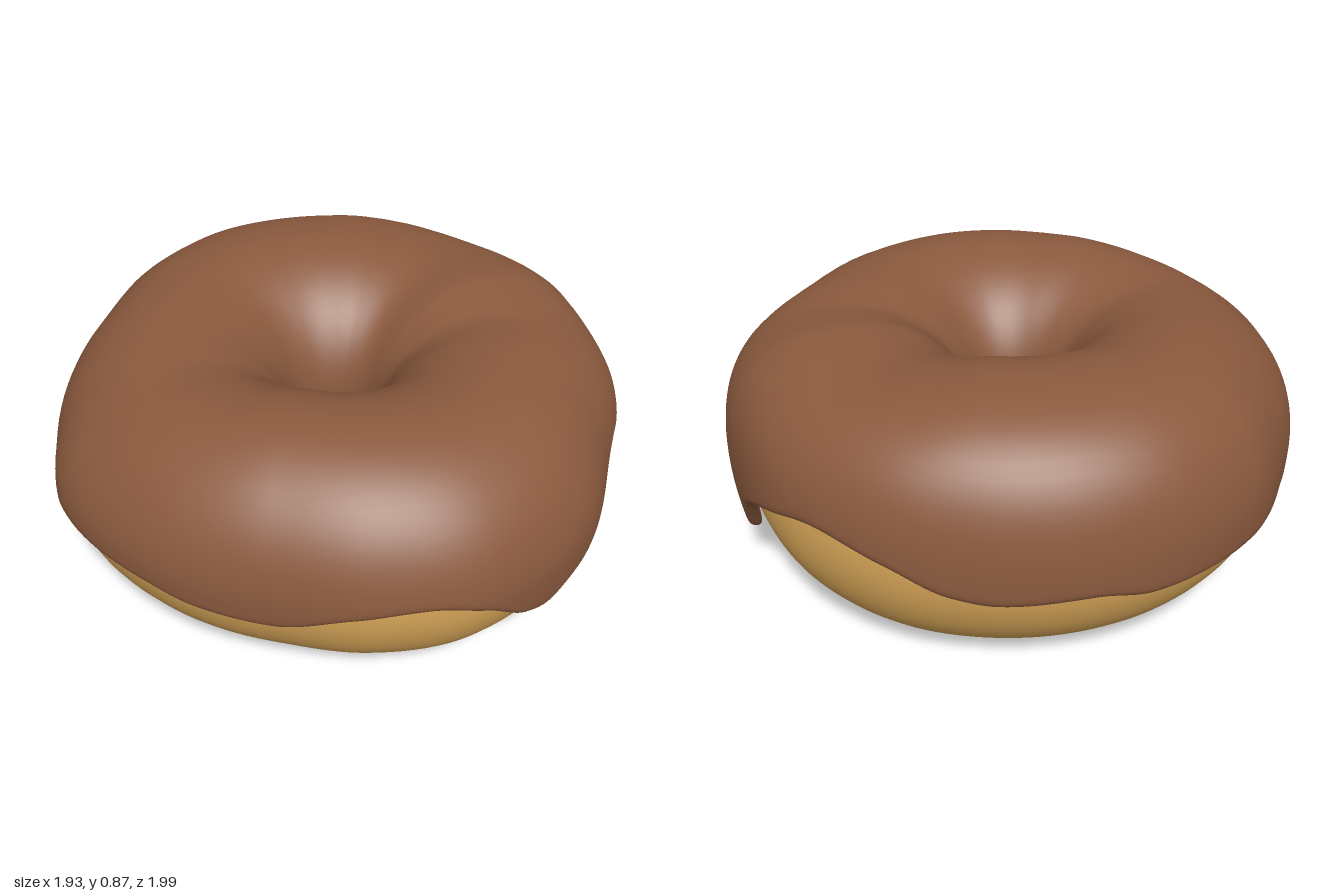
import * as THREE from 'three';

// Body shape by angle (degrees, 0 = +x, 90 = front): outer radius, top height, shoulder fullness
const BODY = [
  [0, 0.965, 0.85, 0.08], [12, 0.965, 0.835, 0.06], [24, 0.97, 0.82, 0.04], [46, 0.935, 0.83, 0.02],
  [69, 0.985, 0.83, 0], [90, 0.995, 0.835, 0], [111, 0.96, 0.84, 0], [131, 0.925, 0.84, 0],
  [157, 0.945, 0.82, -0.02], [180, 0.97, 0.805, -0.04], [198, 0.94, 0.82, -0.02], [225, 0.935, 0.84, 0],
  [247, 0.98, 0.85, 0.03], [270, 0.995, 0.865, 0.06], [300, 0.99, 0.868, 0.07], [316, 0.995, 0.85, 0.08],
  [336, 0.99, 0.83, 0.08],
];

// Height of the icing's lower rim by angle, with its drips
const RIM = [
  [1.5, 0.18], [6, 0.16], [10, 0.2], [12.6, 0.29], [25, 0.44], [39, 0.49], [50, 0.45], [63, 0.38],
  [72, 0.32], [78, 0.29], [83, 0.31], [92, 0.4], [102, 0.445], [115, 0.415], [130, 0.35], [145, 0.36],
  [155, 0.385], [180, 0.4], [190, 0.35], [203, 0.31], [207, 0.27], [209, 0.2], [212, 0.175], [215, 0.2],
  [218, 0.3], [225, 0.33], [240, 0.355], [255, 0.35], [270, 0.345], [280, 0.37], [296, 0.355],
  [304, 0.375], [315, 0.45], [329, 0.5], [342, 0.45], [354, 0.35], [358.5, 0.25],
];

const MID = 0.43, HOLE = 0.14, THICK = 0.045;

// Smooth periodic interpolation that does not overshoot its keys
function sample(keys, deg, col) {
  const n = keys.length;
  const at = (i) => {
    const w = Math.floor(i / n), k = keys[i - w * n];
    return [k[0] + 360 * w, k[col]];
  };
  let i = -1;
  while (at(i + 1)[0] <= deg) i++;
  const slope = (j) => (at(j + 1)[1] - at(j)[1]) / (at(j + 1)[0] - at(j)[0]);
  const tangent = (j) => {
    const a = slope(j - 1), b = slope(j);
    return a * b <= 0 ? 0 : (2 * a * b) / (a + b);
  };
  const [x0, y0] = at(i), [x1, y1] = at(i + 1);
  const h = x1 - x0, t = (deg - x0) / h, t2 = t * t, t3 = t2 * t;
  return (2 * t3 - 3 * t2 + 1) * y0 + (t3 - 2 * t2 + t) * h * tangent(i)
    + (3 * t2 - 2 * t3) * y1 + (t3 - t2) * h * tangent(i + 1);
}

// All measurements of one slice through the ring
function slice(deg) {
  const low = Math.max(0, Math.cos((deg - 315) * Math.PI / 180));
  return {
    deg,
    R: sample(BODY, deg, 1), top: sample(BODY, deg, 2), full: sample(BODY, deg, 3),
    rim: sample(RIM, deg, 1),
    bottom: 0.027 - 0.027 * low ** 3,
  };
}

// Point [radius, height] at angle phi round the slice, moved inward by inset
function section(s, phi, inset, hang) {
  let c = Math.cos(phi), y = Math.sin(phi);
  if (c > 0 && y > 0) {
    const k = 1 + s.full * Math.sin(2 * phi) ** 2;
    c *= k;
    y *= k;
  }
  if (c > 0 && y < 0) c = 1 - (1 - c) * hang;
  const half = (s.R - HOLE) / 2;
  const height = y > 0 ? s.top - MID - inset : MID - s.bottom;
  return [(s.R + HOLE) / 2 + (half - inset) * c, MID + height * y];
}

// Skin closed cross-sections swept round the vertical axis
function ring(nu, nv, point) {
  const pos = [], index = [];
  for (let i = 0; i < nu; i++) {
    const a = (i / nu) * Math.PI * 2, s = slice((i / nu) * 360);
    for (let j = 0; j < nv; j++) {
      const [r, y] = point(s, j);
      pos.push(r * Math.cos(a), y, r * Math.sin(a));
      const i2 = (i + 1) % nu, j2 = (j + 1) % nv;
      const p = i * nv + j, q = i * nv + j2, u = i2 * nv + j, v = i2 * nv + j2;
      index.push(p, q, u, q, v, u);
    }
  }
  const g = new THREE.BufferGeometry();
  g.setAttribute('position', new THREE.Float32BufferAttribute(pos, 3));
  g.setIndex(index);
  g.computeVertexNormals();
  return g;
}

function makeDough() {
  const nv = 64;
  return ring(160, nv, (s, j) => section(s, (j / nv) * Math.PI * 2, 0.04, 1));
}

// Shell with a rounded lip: up the outside, over the top into the hole, and back inside
function makeIcing() {
  const n = 48;
  return ring(320, n * 2, (s, j) => {
    const sin = s.rim > MID ? (s.rim - MID) / (s.top - MID) : (s.rim - MID) / (MID - s.bottom);
    const start = Math.asin(sin);
    const end = Math.PI + 0.12 + 0.06 * Math.sin(s.deg * Math.PI / 60);
    const outside = j <= n;
    const u = (outside ? j : 2 * n - j) / n;
    const phi = start + (end - start) * (0.5 - 0.5 * Math.cos(Math.PI * u));
    const d = Math.min(1, Math.min(phi - start, end - phi) / 0.07);
    const lip = (THICK / 2) * (1 - Math.sqrt(Math.max(0, 1 - (1 - d) ** 2)));
    return section(s, phi, outside ? lip : THICK - lip, 0.4);
  });
}

export function createModel() {
  const model = new THREE.Group();
  model.name = 'doughnut';
  const add = (name, geometry, color) => {
    const mesh = new THREE.Mesh(geometry, new THREE.MeshStandardMaterial({ color }));
    mesh.name = name;
    model.add(mesh);
  };
  add('dough', makeDough(), 0xdba95a);
  add('icing', makeIcing(), 0x8b5a3e);
  return model;
}
